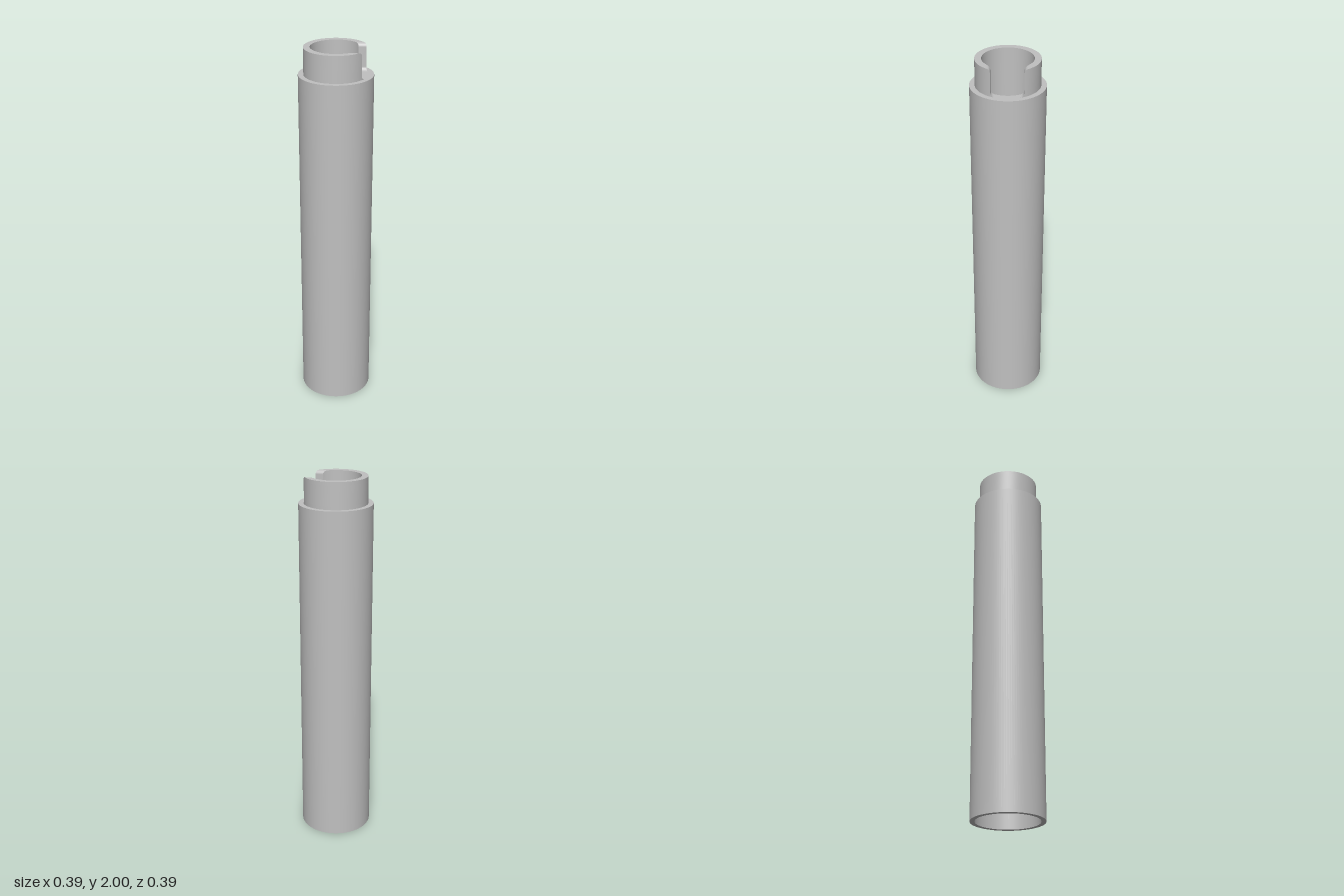
import * as THREE from 'three';
import { mergeGeometries } from 'three/addons/utils/BufferGeometryUtils.js';

const R_BODY = 0.193, R_COLLAR = 0.165, R_BORE = 0.131, R_SOCKET = 0.168;
const Y_SHOULDER = 1.86, Y_TOP = 2, Y_STEP = 1.72;
const NOTCH = 0.082, FILLET = 0.02, SEGMENTS = 96;

// Smooth surface patch; f(u, v) gives a point, front side is du x dv
function patch(f, nu, nv) {
  const pos = [], index = [];
  for (let j = 0; j <= nv; j++)
    for (let i = 0; i <= nu; i++) pos.push(...f(i / nu, j));
  for (let j = 0; j < nv; j++)
    for (let i = 0; i < nu; i++) {
      const a = j * (nu + 1) + i, b = a + 1, d = a + nu + 1, c = d + 1;
      index.push(a, b, c, a, c, d);
    }
  const g = new THREE.BufferGeometry();
  g.setAttribute('position', new THREE.Float32BufferAttribute(pos, 3));
  g.setIndex(index);
  g.computeVertexNormals();
  return g;
}

// Turned body: each profile segment is its own lathe, so edges stay sharp
function bodyGeometry() {
  const profile = [
    [R_SOCKET, 0], [R_BODY, 0], [R_BODY, Y_SHOULDER], [R_BORE, Y_SHOULDER],
    [R_BORE, Y_STEP], [R_SOCKET, Y_STEP], [R_SOCKET, 0],
  ].map(([r, y]) => new THREE.Vector2(r, y));
  return mergeGeometries(profile.slice(1).map((p, i) =>
    new THREE.LatheGeometry([profile[i], p], SEGMENTS)));
}

// Collar with a straight notch on +x, filleted at its floor and its rim
function collarGeometry() {
  const rows = []; // [height, half width of the notch]
  const n = 8;
  for (let i = 0; i <= n; i++) {
    const a = (i / n) * Math.PI / 2;
    rows.push([Y_SHOULDER + FILLET * (1 - Math.cos(a)), NOTCH - FILLET * (1 - Math.sin(a))]);
  }
  for (let i = 0; i <= n; i++) {
    const a = (i / n) * Math.PI / 2;
    rows.push([Y_TOP - FILLET * (1 - Math.sin(a)), NOTCH + FILLET * (1 - Math.cos(a))]);
  }
  const last = rows.length - 1;
  const point = (r, t, row) => {
    const [y, w] = rows[row], start = Math.asin(w / r);
    const a = start + t * (2 * Math.PI - 2 * start);
    return [r * Math.cos(a), y, -r * Math.sin(a)];
  };
  const cut = (side) => (u, j) => {
    const [y, w] = rows[j];
    const t = side < 0 ? u : 1 - u;
    const xIn = Math.sqrt(R_BORE ** 2 - w * w), xOut = Math.sqrt(R_COLLAR ** 2 - w * w);
    return [xIn + t * (xOut - xIn), y, side * w];
  };
  return mergeGeometries([
    patch((u, j) => point(R_COLLAR, u, j), SEGMENTS, last),
    patch((u, j) => point(R_BORE, 1 - u, j), SEGMENTS, last),
    patch((u, j) => point(j ? R_BORE : R_COLLAR, u, last), SEGMENTS, 1),
    patch(cut(-1), 1, last),
    patch(cut(1), 1, last),
  ]);
}

export function createModel() {
  const group = new THREE.Group();
  group.name = 'notchedTube';
  const grey = new THREE.MeshStandardMaterial({ color: 0xc0c0c0 });
  grey.name = 'grey';

  const body = new THREE.Mesh(bodyGeometry(), grey);
  body.name = 'tubeBody';
  const collar = new THREE.Mesh(collarGeometry(), grey);
  collar.name = 'notchedCollar';
  group.add(body, collar);
  return group;
}
